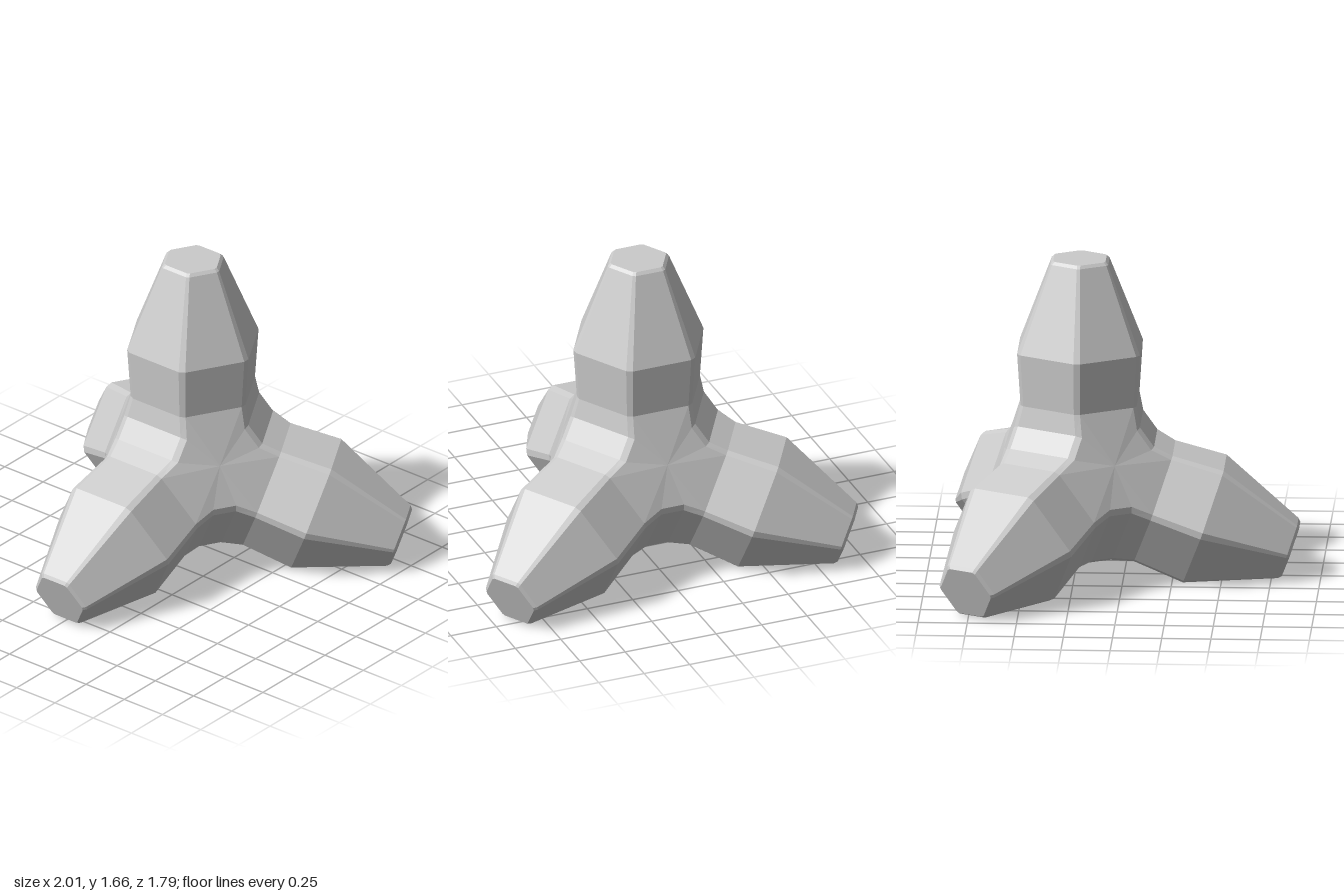
import * as THREE from 'three';

const CENTRE = new THREE.Vector3(0, 0.518, -0.225);
const S = Math.sqrt(8) / 3, Q = Math.sqrt(3) / 2;
// Four arm axes: up, front, back left, back right
const AXES = [
  new THREE.Vector3(0, 1, 0),
  new THREE.Vector3(0, -1 / 3, S),
  new THREE.Vector3(S * Q, -1 / 3, -S / 2),
  new THREE.Vector3(-S * Q, -1 / 3, -S / 2),
];
const NAMES = ['topArm', 'frontArm', 'backLeftArm', 'backRightArm'];

// Arm rings: distance along the axis, apothem of the hexagon, corner bevel
const RINGS = [
  [0.402, 0.295, 0.018],
  [0.672, 0.312, 0.02],
  [1.122, 0.147, 0.01],
  [1.137, 0.133, 0.01],
];
const flatHalf = ([, apothem, bevel]) => apothem * Math.tan(Math.PI / 6) - bevel;

// Sum of [vector, scale] pairs
const mix = (...terms) => terms.reduce((v, [d, s]) => v.addScaledVector(d, s), new THREE.Vector3());
const toward = (from, to) => to.clone().sub(from).normalize();
// Unit direction square to axis a, leaning toward axis b
const lean = (a, b) => b.clone().addScaledVector(a, -a.dot(b)).normalize();

// Add a polygon as a fan about its middle, facing away from the centre
function addFace(out, points) {
  const mid = points.reduce((v, p) => v.add(p), new THREE.Vector3()).divideScalar(points.length);
  points.forEach((p, i) => {
    const q = points[(i + 1) % points.length];
    const normal = p.clone().sub(mid).cross(q.clone().sub(mid));
    const tri = normal.dot(mid) > 0 ? [mid, p, q] : [mid, q, p];
    tri.forEach((v) => out.push(v.x, v.y, v.z));
  });
}

// Join two rows of points with quads
function addBand(out, rowA, rowB, closed = false) {
  const n = rowA.length;
  for (let i = 0; i < (closed ? n : n - 1); i++) {
    const j = (i + 1) % n;
    addFace(out, [rowA[i], rowA[j], rowB[j], rowB[i]]);
  }
}

function makeMesh(name, positions) {
  const geometry = new THREE.BufferGeometry();
  geometry.setAttribute('position', new THREE.Float32BufferAttribute(positions, 3));
  geometry.computeVertexNormals();
  const mesh = new THREE.Mesh(geometry, new THREE.MeshStandardMaterial({ color: 0xcccccc, flatShading: true }));
  mesh.name = name;
  return mesh;
}

// Bevelled hexagonal arm with a capped tip
function armPositions(index) {
  const axis = AXES[index];
  const e = lean(axis, AXES[(index + 1) % 4]);
  const rings = RINGS.map((ring) => {
    const points = [];
    for (let k = 0; k < 6; k++) {
      const face = e.clone().applyAxisAngle(axis, (k * Math.PI) / 3);
      const side = axis.clone().cross(face);
      for (const s of [-1, 1]) points.push(mix([axis, ring[0]], [face, ring[1]], [side, s * flatHalf(ring)]));
    }
    return points;
  });
  const out = [];
  for (let i = 0; i < rings.length - 1; i++) addBand(out, rings[i], rings[i + 1], true);
  addFace(out, rings[rings.length - 1]);
  return out;
}

// Hub: curved bridges between each pair of arms and four flat panels
function hubPositions() {
  const out = [];
  const [t, apothem] = RINGS[0];
  const half = flatHalf(RINGS[0]);

  // Bridge edge between arms a and b, on the side away from c and toward d
  function bridgeEdge(a, b, c, d) {
    const [A, B, C, D] = [a, b, c, d].map((i) => AXES[i]);
    const out1 = A.clone().add(B).normalize();
    const along = toward(B, A), side = toward(C, D);
    const inner = [
      mix([A, t], [lean(A, B), apothem], [side, half]),
      mix([out1, 0.427], [along, 0.062], [side, 0.173]),
      mix([out1, 0.427], [along, -0.062], [side, 0.173]),
      mix([B, t], [lean(B, A), apothem], [side, half]),
    ];
    const panel = [
      mix([A, t], [lean(A, C), -apothem], [toward(D, B), half]),
      mix([out1, 0.411], [along, 0.062], [side, 0.2045]),
      mix([out1, 0.411], [along, -0.062], [side, 0.2045]),
      mix([B, t], [lean(B, C), -apothem], [toward(D, A), half]),
    ];
    return { inner, panel };
  }

  // Bridges with bevelled edges
  for (let a = 0; a < 4; a++) {
    for (let b = a + 1; b < 4; b++) {
      const [c, d] = [0, 1, 2, 3].filter((i) => i !== a && i !== b);
      const one = bridgeEdge(a, b, c, d), two = bridgeEdge(a, b, d, c);
      addBand(out, one.inner, two.inner);
      addBand(out, one.inner, one.panel);
      addBand(out, two.inner, two.panel);
    }
  }
  // Flat panel opposite each arm
  for (let c = 0; c < 4; c++) {
    const [p, q, r] = [0, 1, 2, 3].filter((i) => i !== c);
    addFace(out, [[p, q, r], [q, r, p], [r, p, q]].flatMap(([a, b, d]) => bridgeEdge(a, b, c, d).panel));
  }
  return out;
}

export function createModel() {
  const group = new THREE.Group();
  group.name = 'tetrapodBlock';
  group.add(makeMesh('hub', hubPositions()));
  NAMES.forEach((name, i) => group.add(makeMesh(name, armPositions(i))));
  group.children.forEach((mesh) => mesh.position.copy(CENTRE));
  return group;
}
